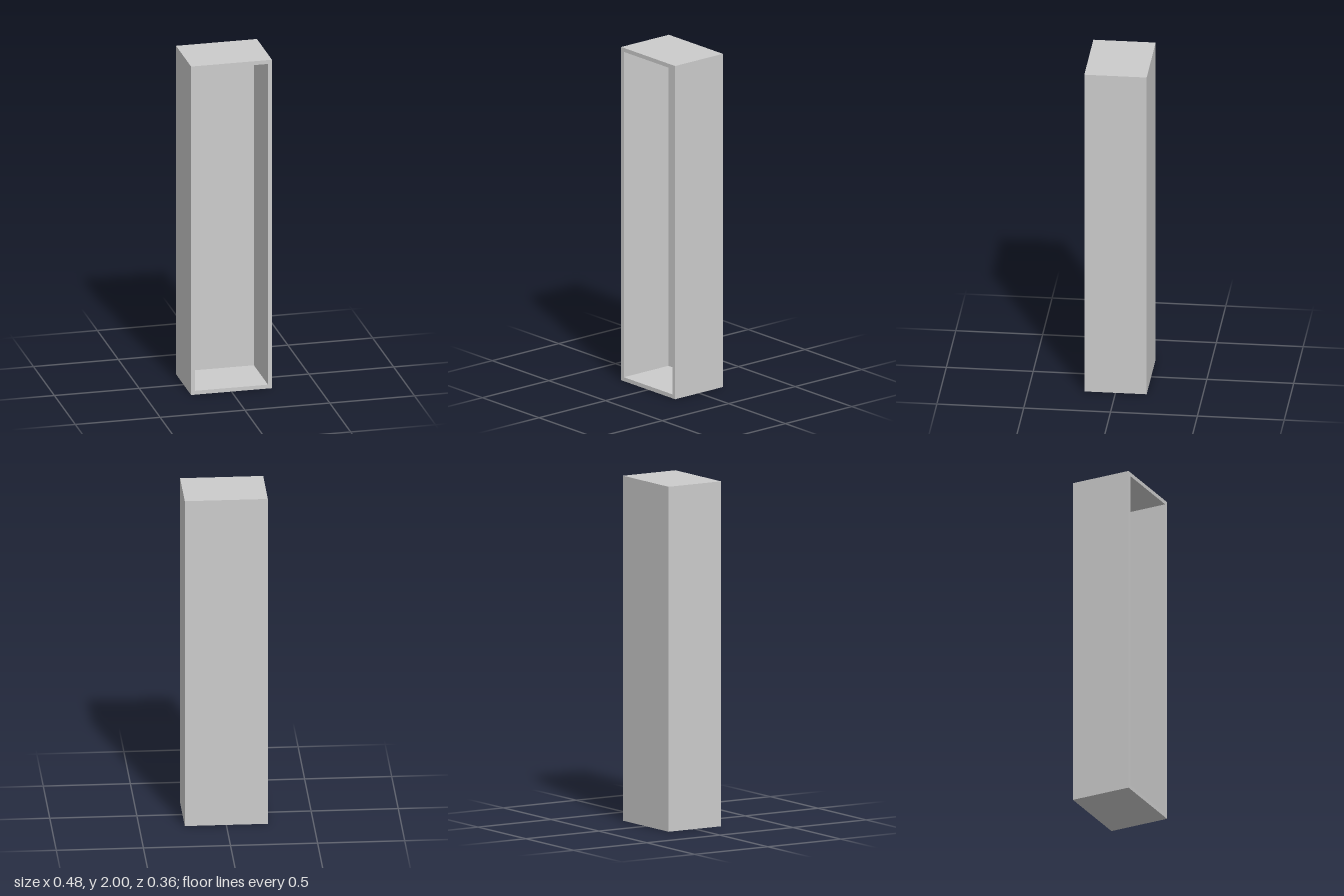
import * as THREE from 'three';

const W = 0.477, H = 2, D = 0.359, WALL = 0.0235;

// Box without its front (+z) side, optionally turned inside out
function openBox(w, h, d, inward) {
  const g = new THREE.BoxGeometry(w, h, d);
  const index = Array.from(g.index.array);
  index.splice(24, 6);
  if (inward) {
    index.reverse();
    g.attributes.normal.array.forEach((n, i, a) => { a[i] = -n; });
  }
  g.setIndex(index);
  g.clearGroups();
  return g;
}

function rectangle(path, w, h) {
  path.moveTo(-w / 2, -h / 2);
  path.lineTo(w / 2, -h / 2);
  path.lineTo(w / 2, h / 2);
  path.lineTo(-w / 2, h / 2);
  path.closePath();
  return path;
}

export function createModel() {
  const group = new THREE.Group();
  group.name = 'openCabinet';
  const material = new THREE.MeshStandardMaterial({ color: 0xcccccc });
  const add = (name, geometry, z) => {
    const mesh = new THREE.Mesh(geometry, material);
    mesh.name = name;
    mesh.position.set(0, H / 2, z);
    group.add(mesh);
  };
  const innerW = W - 2 * WALL, innerH = H - 2 * WALL, innerD = D - WALL;

  // Outside: sides, top, bottom and back
  add('outerCasing', openBox(W, H, D, false), 0);

  // Hollow compartment, seen through the open front
  add('innerCompartment', openBox(innerW, innerH, innerD, true), WALL / 2);

  // Thin front edge joining the casing to the compartment
  const rim = rectangle(new THREE.Shape(), W, H);
  rim.holes.push(rectangle(new THREE.Path(), innerW, innerH));
  add('frontRim', new THREE.ShapeGeometry(rim), D / 2);

  return group;
}
